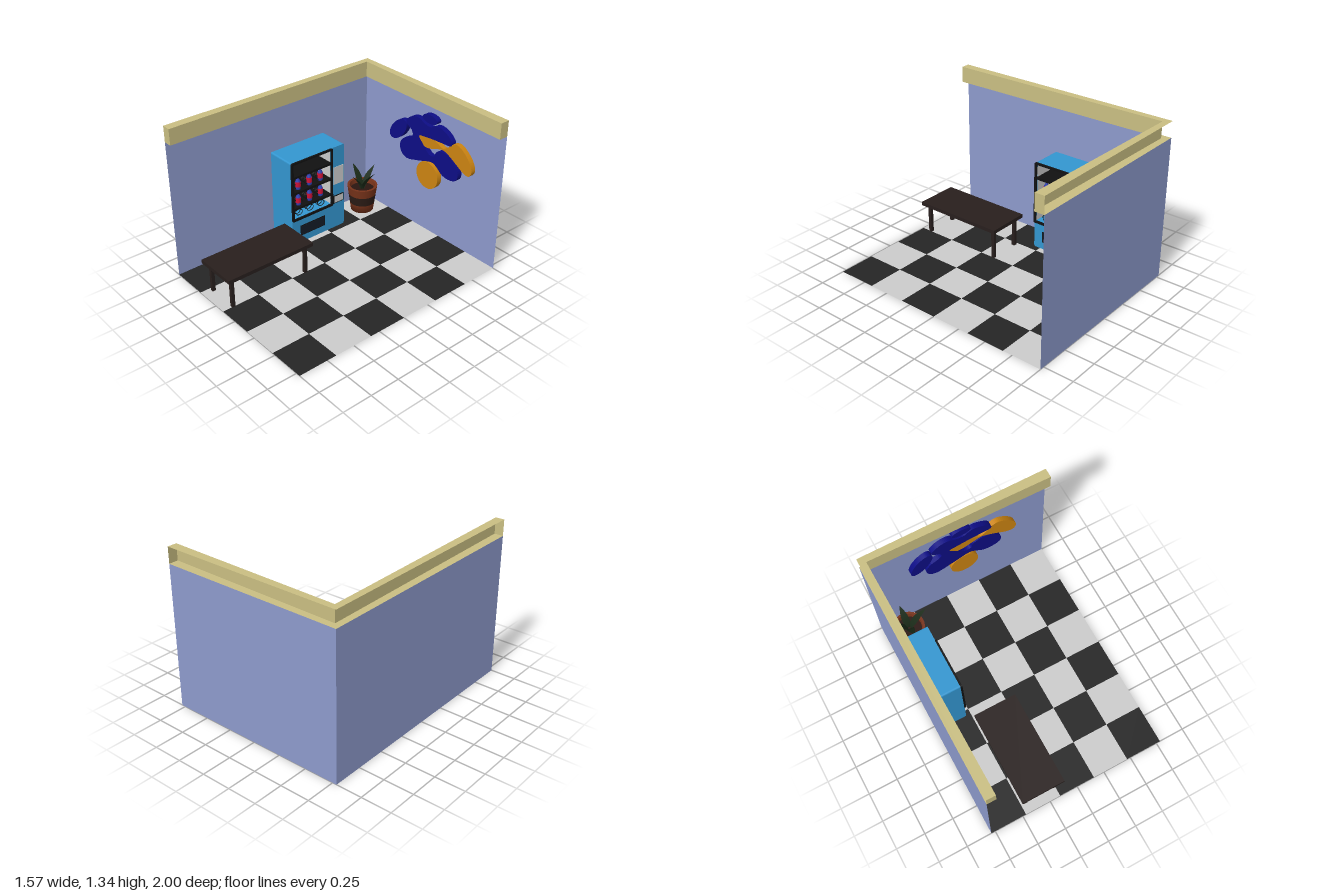
import * as THREE from 'three';

const mat = (color, side = THREE.FrontSide) => new THREE.MeshStandardMaterial({ color, side, roughness: 0.8 });
const D = THREE.DoubleSide;
const M = {
  wall: mat(0x8d9acc, D), trim: mat(0xc9be82, D), grey: mat(0xcccccc), tileLight: mat(0xcccccc, D),
  tileDark: mat(0x252525, D), blue: mat(0x3396d0), black: mat(0x111111), slot: mat(0x141c28),
  wood: mat(0x281f1d), clay: mat(0x78331a), band: mat(0x2c1c16), soil: mat(0x2a1510), leaf: mat(0x1a2a18, D),
  navy: mat(0x0d0d85), orange: mat(0xcc8412), glass: mat(0x3040b0), label: mat(0xd01238),
};

function add(parent, name, geo, material, x = 0, y = 0, z = 0) {
  const m = new THREE.Mesh(geo, material);
  m.name = name;
  m.position.set(x, y, z);
  parent.add(m);
  return m;
}
function group(parent, name) {
  const g = new THREE.Group();
  g.name = name;
  parent.add(g);
  return g;
}
// Box given by its two extreme corners
function box(parent, name, material, x0, x1, y0, y1, z0, z1) {
  return add(parent, name, new THREE.BoxGeometry(x1 - x0, y1 - y0, z1 - z0), material,
    (x0 + x1) / 2, (y0 + y1) / 2, (z0 + z1) / 2);
}
function quad(a, b, c, d) {
  const g = new THREE.BufferGeometry();
  g.setAttribute('position', new THREE.Float32BufferAttribute([a, b, c, a, c, d].flat(), 3));
  g.computeVertexNormals();
  return g;
}
function roundRect(x0, x1, y0, y1, r, S = THREE.Shape) {
  const s = new S();
  s.moveTo(x0 + r, y0);
  s.lineTo(x1 - r, y0); s.quadraticCurveTo(x1, y0, x1, y0 + r);
  s.lineTo(x1, y1 - r); s.quadraticCurveTo(x1, y1, x1 - r, y1);
  s.lineTo(x0 + r, y1); s.quadraticCurveTo(x0, y1, x0, y1 - r);
  s.lineTo(x0, y0 + r); s.quadraticCurveTo(x0, y0, x0 + r, y0);
  return s;
}

function buildRoom(root) {
  const room = group(root, 'room');
  const X = 0.785, H = 1.2, T = 1.335;
  // checkered floor
  const w = 2 * X / 5, d = 2 / 6;
  const floor = group(room, 'floor');
  for (let i = 0; i < 5; i++) for (let j = 0; j < 6; j++)
    add(floor, 'tile', new THREE.PlaneGeometry(w, d).rotateX(-Math.PI / 2),
      (i + j) % 2 ? M.tileDark : M.tileLight, -X + (i + 0.5) * w, 0, -1 + (j + 0.5) * d);
  // walls
  add(room, 'backWall', quad([-X, 0, -1], [X, 0, -1], [X, H, -1], [-X, H, -1]), M.wall);
  add(room, 'leftWall', quad([-X, 0, 1], [-X, 0, -1], [-X, H, -1], [-X, H, 1]), M.wall);
  // open-backed mitred cornice: each run goes from its far end to the corner
  const outer = [-X, -1], inner = [-0.73, -0.945];
  const runs = [[[-X, 1], [-0.71, 1]], [[X, -1], [X, -0.92]]];
  const cornice = group(room, 'cornice');
  runs.forEach(([o, i], k) => {
    const P = ([x, z], y) => [x, y, z];
    const face = (name, a, b, c, e) =>
      add(cornice, name, k ? quad(e, c, b, a) : quad(a, b, c, e), M.trim);
    face('corniceTop', P(o, T), P(i, T), P(inner, T), P(outer, T));
    face('corniceBottom', P(outer, H), P(inner, H), P(i, H), P(o, H));
    face('corniceFront', P(i, H), P(inner, H), P(inner, T), P(i, T));
    face('corniceEnd', P(o, H), P(i, H), P(i, T), P(o, T));
  });
}

function buildTable(root) {
  const table = group(root, 'table');
  box(table, 'tableTop', M.wood, -0.48, -0.11, 0.258, 0.29, 0.155, 0.96);
  for (const x of [-0.43, -0.16]) for (const z of [0.202, 0.907])
    box(table, 'tableLeg', M.wood, x - 0.014, x + 0.014, 0.004, 0.26, z - 0.014, z + 0.014);
}

function buildMachine(root) {
  const g = group(root, 'vendingMachine');
  // outlines are drawn with u = -z, then extruded along x
  const ringX = (outline, hole, x0, x1) => {
    outline.holes.push(hole);
    return new THREE.ExtrudeGeometry(outline, { depth: x1 - x0, bevelEnabled: false, curveSegments: 6 })
      .rotateY(Math.PI / 2).translate(x0, 0, 0);
  };
  const hole = () => roundRect(-0.033, 0.363, 0.262, 0.775, 0.004, THREE.Path);
  add(g, 'case', ringX(roundRect(-0.05, 0.51, 0.01, 0.79, 0.015), hole(), -0.78, -0.513), M.blue);
  add(g, 'windowFrame', ringX(roundRect(-0.053, 0.38, 0.242, 0.792, 0.015), hole(), -0.516, -0.5), M.black);
  // compartment lining
  box(g, 'compartmentBack', M.grey, -0.779, -0.74, 0.26, 0.777, -0.365, 0.035);
  box(g, 'compartmentSide', M.grey, -0.74, -0.518, 0.262, 0.775, -0.364, -0.361);
  box(g, 'compartmentSide', M.grey, -0.74, -0.518, 0.262, 0.775, 0.031, 0.034);

  const profile = [[0, 0], [0.02, 0], [0.023, 0.008], [0.023, 0.03], [0.019, 0.045], [0.023, 0.065],
    [0.02, 0.08], [0.009, 0.1], [0.009, 0.122], [0, 0.122]].map(p => new THREE.Vector2(...p));
  const bottleGeo = new THREE.LatheGeometry(profile, 12);
  const labelGeo = new THREE.CylinderGeometry(0.0245, 0.0245, 0.045, 12);
  const coil = [];
  for (let i = 0; i <= 84; i++) {
    const a = i / 12 * Math.PI * 2;
    coil.push(new THREE.Vector3(-0.73 + i / 84 * 0.205, Math.cos(a) * 0.03, Math.sin(a) * 0.03));
  }
  const coilGeo = new THREE.TubeGeometry(new THREE.CatmullRomCurve3(coil), 126, 0.003, 5);

  for (const y of [0.355, 0.505, 0.653])
    box(g, 'shelf', M.black, -0.74, -0.503, y - 0.01, y + 0.01, -0.363, 0.033);
  [0.264, 0.365, 0.515].forEach((y, row) => {
    for (const z of [-0.04, -0.158, -0.275]) {
      add(g, 'coil', coilGeo, M.black, 0, y + 0.031, z);
      if (row === 0) continue;
      const bottle = group(g, 'bottle');
      bottle.position.set(-0.545, y, z);
      add(bottle, 'bottleBody', bottleGeo, M.glass);
      add(bottle, 'bottleLabel', labelGeo, M.label, 0, 0.048, 0);
    }
  });
  // control panel and delivery slot
  box(g, 'keypad', M.grey, -0.52, -0.509, 0.435, 0.6, -0.5, -0.395);
  box(g, 'coinTrayFrame', M.black, -0.52, -0.509, 0.25, 0.325, -0.503, -0.392);
  box(g, 'coinTray', M.grey, -0.52, -0.506, 0.258, 0.317, -0.495, -0.4);
  box(g, 'deliverySlot', M.black, -0.52, -0.51, 0.075, 0.173, -0.295, -0.033);
  box(g, 'deliveryFlap', M.slot, -0.52, -0.507, 0.082, 0.166, -0.287, -0.041);
}

function buildPlant(root) {
  const g = group(root, 'pottedPlant');
  g.position.set(-0.595, 0, -0.795);
  const lathe = pts => new THREE.LatheGeometry(pts.map(p => new THREE.Vector2(...p)), 28);
  const r = y => 0.1 + (y - 0.015) * 0.137;
  add(g, 'potBase', lathe([[0, 0.015], [r(0.015), 0.015], [r(0.09), 0.09]]), M.clay);
  add(g, 'potBand', lathe([[r(0.09), 0.09], [r(0.175), 0.175]]), M.band);
  add(g, 'potRim', lathe([[r(0.175), 0.175], [0.133, 0.255]]), M.clay);
  add(g, 'potLip', lathe([[0.133, 0.255], [0.112, 0.255]]), M.clay);
  add(g, 'potInside', lathe([[0.112, 0.255], [0.104, 0.21]]), M.clay);
  add(g, 'soil', new THREE.CircleGeometry(0.106, 28).rotateX(-Math.PI / 2), M.soil, 0, 0.215, 0);
  // arching pointed blades
  [[0.165, 0.225], [0.13, 0.19], [0.12, 0.2], [0.13, 0.18]].forEach(([reach, rise], k) => {
    const blade = new THREE.PlaneGeometry(1, 1, 2, 10);
    const p = blade.attributes.position;
    for (let i = 0; i < p.count; i++) {
      const t = p.getY(i) + 0.5;
      const width = 0.03 + 0.032 * Math.sin(Math.PI * Math.min(1, t * 1.1));
      const taper = t < 0.6 ? 1 : Math.sqrt(Math.max(0, 1 - ((t - 0.6) / 0.4) ** 2));
      p.setXYZ(i, 0.01 + reach * t ** 1.6, 0.215 + rise * t, p.getX(i) * width * taper);
    }
    blade.computeVertexNormals();
    add(g, 'leaf', blade, M.leaf).rotation.y = k * Math.PI / 2;
  });
}

function buildWallArt(root) {
  const art = group(root, 'wallArt');
  art.position.z = -0.999;
  const slab = (name, shape, material, depth) => add(art, name,
    new THREE.ExtrudeGeometry(shape, { depth, bevelEnabled: false, curveSegments: 40 }), material);
  const oval = (x, y, a, b, rot = 0) => new THREE.Shape().absellipse(x, y, a, b, 0, Math.PI * 2, false, rot);
  const blob = pts => {
    const c = new THREE.CatmullRomCurve3(pts.map(([x, y]) => new THREE.Vector3(x, y, 0)), true, 'centripetal');
    return new THREE.Shape(c.getPoints(90).slice(0, -1).map(v => new THREE.Vector2(v.x, v.y)));
  };
  slab('disc', oval(0.03, 0.56, 0.122, 0.122), M.orange, 0.046);
  slab('topOval', oval(0.03, 1.075, 0.082, 0.038), M.navy, 0.046);
  slab('sideOval', oval(-0.33, 0.855, 0.13, 0.065, 0.84), M.navy, 0.046);
  slab('upperBlob', blob([[-0.237, 0.968], [-0.212, 1.002], [-0.16, 1.035], [-0.085, 1.044], [-0.03, 1.02],
    [0.048, 1.01], [0.1, 1.04], [0.155, 1.043], [0.237, 1.01], [0.284, 0.96], [0.278, 0.93], [0.17, 0.918],
    [0.05, 0.91], [-0.115, 0.895], [-0.195, 0.922]]), M.navy, 0.046);
  slab('lowerBlob', blob([[-0.17, 0.905], [-0.112, 0.896], [-0.04, 0.83], [0.044, 0.758], [0.098, 0.763],
    [0.118, 0.81], [0.175, 0.838], [0.26, 0.83], [0.335, 0.77], [0.368, 0.70], [0.35, 0.645], [0.28, 0.62],
    [0.195, 0.632], [0.13, 0.68], [0.08, 0.7], [-0.08, 0.655], [-0.225, 0.624], [-0.288, 0.665],
    [-0.3, 0.737], [-0.255, 0.80], [-0.18, 0.835], [-0.155, 0.87]]), M.navy, 0.045);
  slab('orangeBlob', blob([[-0.08, 0.9], [-0.07, 0.845], [-0.03, 0.815], [0.03, 0.812], [0.13, 0.845],
    [0.19, 0.858], [0.26, 0.835], [0.34, 0.79], [0.43, 0.742], [0.48, 0.738], [0.506, 0.78], [0.49, 0.845],
    [0.43, 0.915], [0.35, 0.962], [0.29, 0.948], [0.245, 0.905], [0.19, 0.872], [0.12, 0.9],
    [0.04, 0.92]]), M.orange, 0.043);
}

export function createModel() {
  const root = new THREE.Group();
  root.name = 'snackRoom';
  [buildRoom, buildTable, buildMachine, buildPlant, buildWallArt].forEach(build => build(root));
  return root;
}
